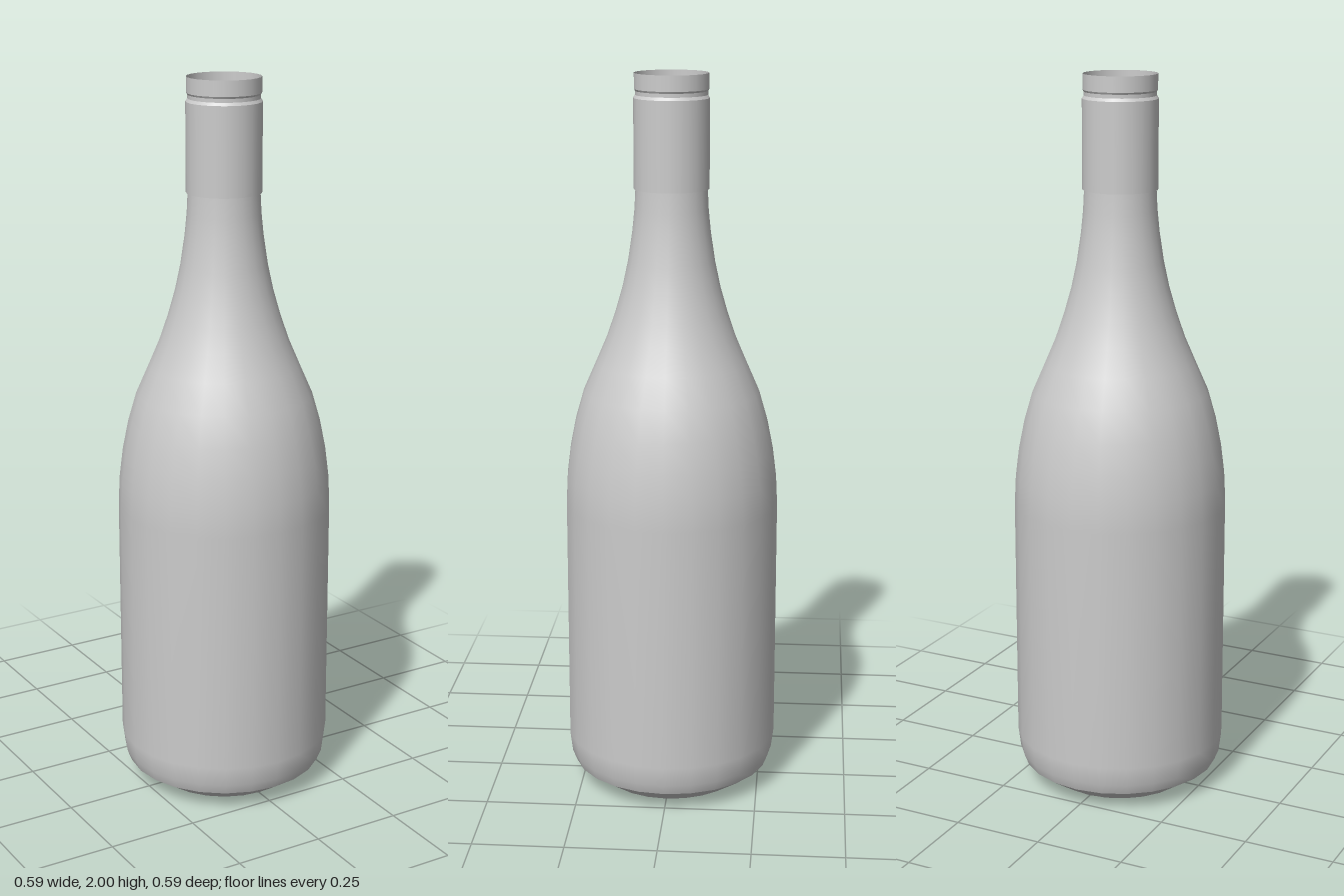
import * as THREE from 'three';

const SIDES = 24;
const grey = new THREE.MeshStandardMaterial({ color: 0xcccccc });
const thin = new THREE.MeshStandardMaterial({ color: 0xcccccc, side: THREE.DoubleSide });

// Turned section from [radius, height] pairs; separate sections keep the edges between them sharp.
function turned(name, profile, material = grey) {
  const points = profile.map(([r, y]) => new THREE.Vector2(r, y));
  const mesh = new THREE.Mesh(new THREE.LatheGeometry(points, SIDES), material);
  mesh.name = name;
  return mesh;
}

export function createModel() {
  const bottle = new THREE.Group();
  bottle.name = 'bottle';

  // Hollow base: punt ceiling, conical punt, standing ring and bevel
  bottle.add(
    turned('puntCeiling', [[0, 0.11], [0.1, 0.11]]),
    turned('puntWall', [[0.1, 0.11], [0.182, 0.006]]),
    turned('standingRing', [[0.182, 0.006], [0.19, 0], [0.2, 0.004]]),
    turned('baseBevel', [[0.2, 0.004], [0.276, 0.055]]),
  );

  // Body, shoulder and neck in one smooth sweep
  bottle.add(turned('body', [
    [0.276, 0.055], [0.288, 0.085], [0.295, 0.14], [0.295, 0.82],
    [0.291, 0.9], [0.281, 0.98], [0.265, 1.06], [0.242, 1.14], [0.207, 1.22],
    [0.177, 1.29], [0.153, 1.36], [0.133, 1.43], [0.118, 1.5],
    [0.106, 1.58], [0.1, 1.64], [0.097, 1.7],
  ]));

  // Cap sleeve with a small step under it and a chamfered top
  bottle.add(
    turned('sleeveUnderside', [[0.095, 1.695], [0.102, 1.695]]),
    turned('sleeve', [[0.102, 1.695], [0.102, 1.935]]),
    turned('sleeveChamfer', [[0.102, 1.935], [0.097, 1.943]]),
    turned('capGroove', [[0.097, 1.943], [0.097, 1.953]]),
  );

  // Thin open rim around a recessed top disc
  bottle.add(
    turned('rimStep', [[0.097, 1.953], [0.1, 1.958]], thin),
    turned('rim', [[0.1, 1.958], [0.1, 2]], thin),
    turned('topDisc', [[0.1, 1.958], [0, 1.958]], thin),
  );

  return bottle;
}
